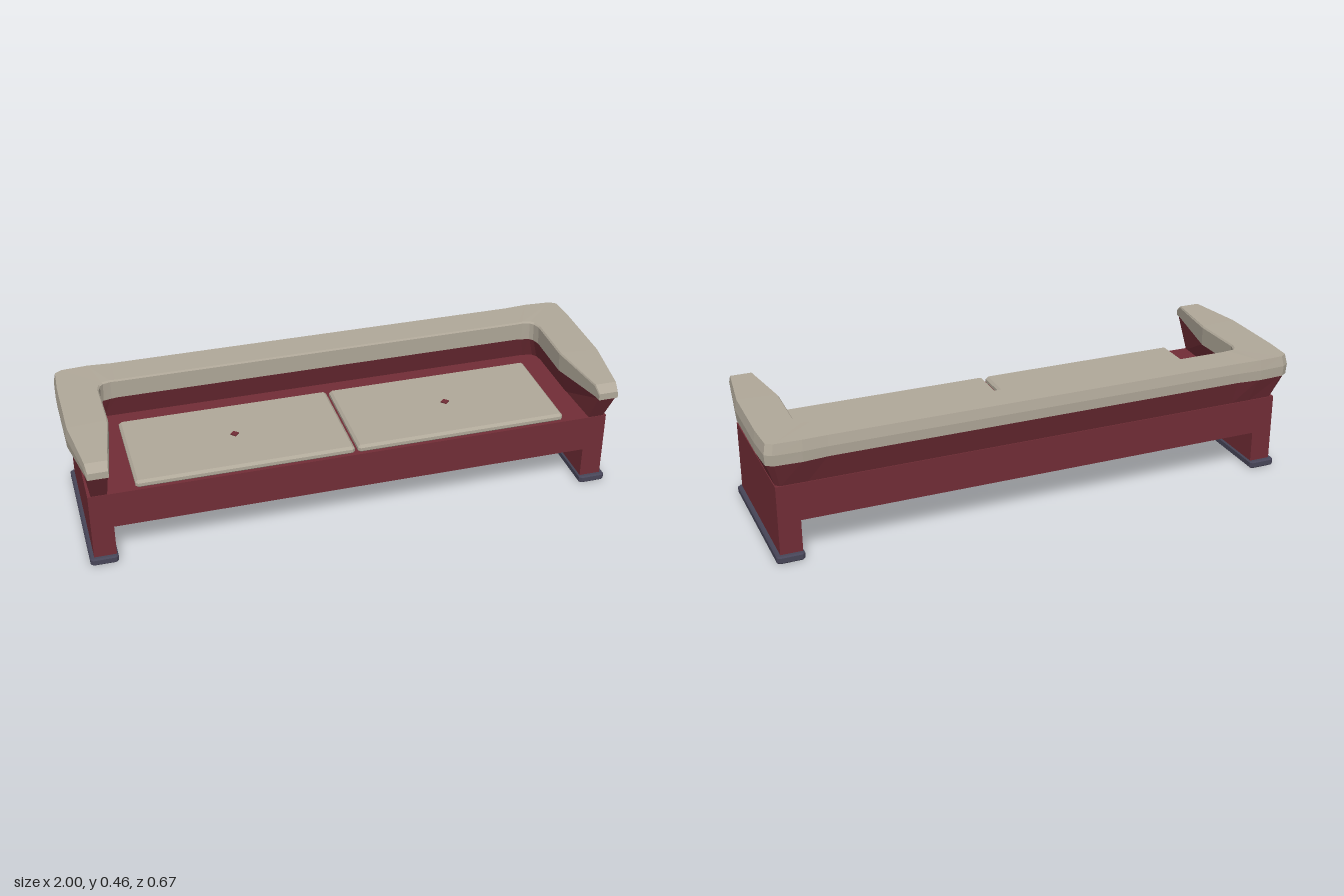
import * as THREE from 'three';

const red = new THREE.MeshStandardMaterial({ color: 0x712d36 });
red.name = 'dark red';
const grey = new THREE.MeshStandardMaterial({ color: 0xb0a899 });
grey.name = 'warm grey';
const slate = new THREE.MeshStandardMaterial({ color: 0x474558 });
slate.name = 'slate';

function addMesh(parent, name, geometry, material, x = 0, y = 0, z = 0) {
  const mesh = new THREE.Mesh(geometry, material);
  mesh.name = name;
  mesh.position.set(x, y, z);
  parent.add(mesh);
  return mesh;
}

// Flat-sided skin through a row of equal cross-sections, closed at both ends
function loft(sections) {
  const out = [];
  const tri = (...points) => points.forEach((p) => out.push(...p));
  const n = sections[0].length;
  for (let i = 0; i < sections.length - 1; i++) {
    const s = sections[i], t = sections[i + 1];
    for (let j = 0; j < n; j++) {
      const k = (j + 1) % n;
      tri(s[j], t[j], t[k]);
      tri(s[j], t[k], s[k]);
    }
  }
  const first = sections[0], last = sections[sections.length - 1];
  for (let j = 1; j < n - 1; j++) {
    tri(first[0], first[j], first[j + 1]);
    tri(last[0], last[j + 1], last[j]);
  }
  const geometry = new THREE.BufferGeometry();
  geometry.setAttribute('position', new THREE.Float32BufferAttribute(out, 3));
  geometry.computeVertexNormals();
  return geometry;
}

// Completes the left half of a U-shaped run with its mirror image.
// Each section has its inner points first on the bottom, so mirroring keeps the order.
const mirrored = (half) => [
  ...half,
  ...half.slice().reverse().map((s) => s.map(([x, y, z]) => [-x, y, z])),
];

// Flat slab with cut corners and a bevelled rim, standing on y = 0
function slab(width, height, depth, cut, bevel) {
  const w = width / 2 - bevel, d = depth / 2 - bevel;
  const shape = new THREE.Shape([
    [w - cut, -d], [w, -d + cut], [w, d - cut], [w - cut, d],
    [-w + cut, d], [-w, d - cut], [-w, -d + cut], [-w + cut, -d],
  ].map(([x, y]) => new THREE.Vector2(x, y)));
  const geometry = new THREE.ExtrudeGeometry(shape, {
    depth: height - 2 * bevel, bevelEnabled: true,
    bevelSize: bevel, bevelThickness: bevel, bevelSegments: 1,
  });
  geometry.rotateX(-Math.PI / 2);
  geometry.translate(0, bevel, 0);
  return geometry;
}

// Rail stations from the left arm tip to the back:
// outer x, outer z, inner x, inner z, bottom y, middle y, top y
const RAIL = [
  [0.96, 0.333, 0.885, 0.333, 0.404, 0.418, 0.430],
  [0.965, 0.302, 0.880, 0.302, 0.406, 0.428, 0.453],
  [0.998, 0.075, 0.845, 0.06, 0.381, 0.42, 0.458],
  [1.0, -0.2, 0.849, -0.15, 0.381, 0.42, 0.458],
  [0.994, -0.312, 0.84, -0.178, 0.381, 0.42, 0.458],
  [0.97, -0.328, 0.828, -0.19, 0.381, 0.42, 0.458],
  [0.87, -0.333, 0.80, -0.196, 0.381, 0.42, 0.459],
  [0.78, -0.328, 0.78, -0.196, 0.383, 0.42, 0.458],
];

// Foot line of the flared support: outer x, outer z, inner x, inner z
const SUPPORT = [
  [0.948, 0.255, 0.892, 0.255],
  [0.955, 0.07, 0.885, 0.06],
  [0.956, -0.18, 0.885, -0.18],
  [0.955, -0.272, 0.88, -0.215],
  [0.942, -0.285, 0.868, -0.23],
  [0.85, -0.286, 0.83, -0.24],
  [0.78, -0.286, 0.78, -0.24],
];

function railSection([ox, oz, ix, iz, bottom, middle, top]) {
  // Point between the inner (0) and outer (1) edge
  const at = (t, y) => [ix + (ox - ix) * t, y, iz + (oz - iz) * t];
  return [at(0.02, bottom), at(0.985, bottom), at(1, middle), at(0.95, top), at(0.03, top), at(0, top - 0.006)];
}

function supportSection([ox, oz, ix, iz], i) {
  const [tox, toz, tix, tiz, top] = RAIL[i === 0 ? 0 : i + 1];
  const z = i === 0 ? -0.008 : 0;
  const at = (t) => [tix + (tox - tix) * t, top + 0.003, tiz + (toz - tiz) * t + z];
  return [[ix, 0.28, iz], [ox, 0.28, oz], at(0.97), at(0.04)];
}

export function createModel() {
  const model = new THREE.Group();
  model.name = 'sofa';

  // Bench frame: seat box and end legs in one bridge-shaped profile
  const profile = new THREE.Shape([
    [-0.96, 0.02], [-0.88, 0.02], [-0.88, 0.146], [0.88, 0.146],
    [0.88, 0.02], [0.96, 0.02], [0.96, 0.285], [-0.96, 0.285],
  ].map(([x, y]) => new THREE.Vector2(x, y)));
  const frame = new THREE.ExtrudeGeometry(profile, { depth: 0.551, bevelEnabled: false });
  addMesh(model, 'benchFrame', frame, red, 0, 0, -0.291);

  // Flared backrest support and the padded rail on top
  addMesh(model, 'railSupport', loft(mirrored(SUPPORT.map(supportSection))), red);
  addMesh(model, 'paddedRail', loft(mirrored(RAIL.map(railSection))), grey);

  for (const side of [1, -1]) {
    const name = side > 0 ? 'left' : 'right';
    // Skid foot under each end
    addMesh(model, name + 'Foot', slab(0.1, 0.028, 0.582, 0.006, 0.005), slate, side * 0.925, 0, -0.016);
    // Seat cushion with a diamond button
    addMesh(model, name + 'Cushion', slab(0.785, 0.03, 0.4, 0.003, 0.009), grey, side * 0.3985, 0.282, 0.051);
    addMesh(model, name + 'Button', new THREE.CylinderGeometry(0.016, 0.016, 0.006, 4), red, side * 0.4, 0.313, 0.051);
  }
  return model;
}
